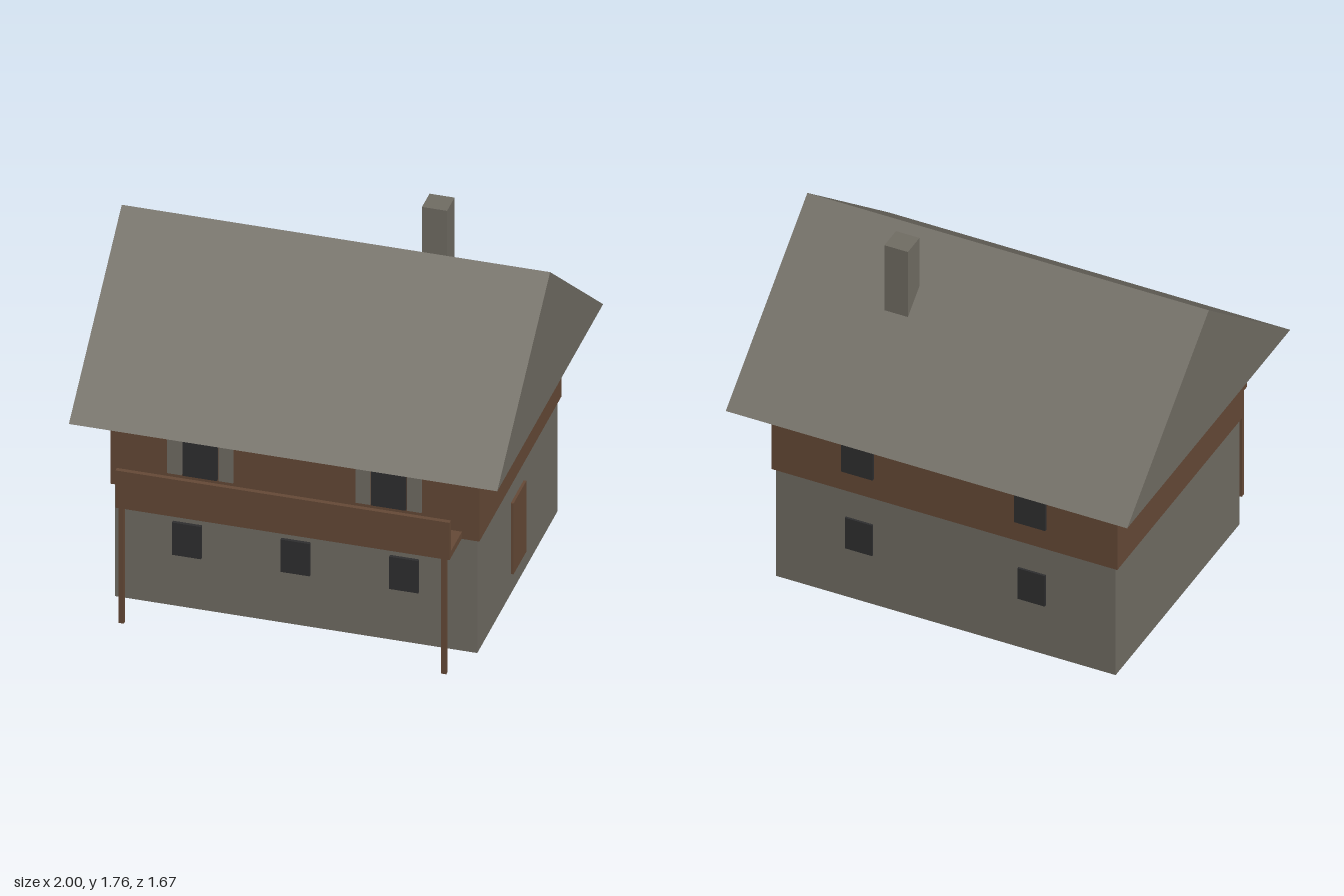
import * as THREE from 'three';

const grey = new THREE.MeshStandardMaterial({ color: 0x716d64, side: THREE.DoubleSide });
grey.name = 'stone grey';
const brown = new THREE.MeshStandardMaterial({ color: 0x664a37 });
brown.name = 'timber brown';
const dark = new THREE.MeshStandardMaterial({ color: 0x2f2f30 });
dark.name = 'window dark';

// Box given by its minimum and maximum on each axis
function box(parent, name, material, [x0, x1], [y0, y1], [z0, z1]) {
  const geometry = new THREE.BoxGeometry(x1 - x0, y1 - y0, z1 - z0);
  geometry.translate((x0 + x1) / 2, (y0 + y1) / 2, (z0 + z1) / 2);
  const mesh = new THREE.Mesh(geometry, material);
  mesh.name = name;
  parent.add(mesh);
  return mesh;
}

export function createModel() {
  const house = new THREE.Group();
  house.name = 'house';

  // Ground floor: a hollow shell, open underneath
  const walls = box(house, 'groundFloor', grey, [-0.846, 0.846], [0, 0.598], [-0.633, 0.624]);
  const index = Array.from(walls.geometry.index.array);
  index.splice(18, 6); // bottom face
  walls.geometry.setIndex(index);
  walls.geometry.clearGroups();

  // Timber upper floor
  box(house, 'upperFloor', brown, [-0.861, 0.861], [0.6, 0.999], [-0.647, 0.642]);

  // Solid gable roof
  const gable = new THREE.Shape([
    new THREE.Vector2(-0.828, 1),
    new THREE.Vector2(0.83, 1),
    new THREE.Vector2(0, 1.662),
  ]);
  const roofGeometry = new THREE.ExtrudeGeometry(gable, { depth: 2, bevelEnabled: false });
  roofGeometry.translate(0, 0, -1).rotateY(Math.PI / 2);
  const roof = new THREE.Mesh(roofGeometry, grey);
  roof.name = 'roof';
  house.add(roof);

  box(house, 'chimney', grey, [0.34, 0.457], [1.35, 1.765], [-0.325, -0.207]);
  box(house, 'door', brown, [0.84, 0.859], [0.105, 0.478], [-0.103, 0.1]);

  // Ground floor windows
  for (const x of [-0.507, 0, 0.507])
    box(house, 'frontLowerWindow', dark, [x - 0.068, x + 0.068], [0.275, 0.445], [0.62, 0.64]);

  for (const side of [-1, 1]) {
    // Windows at the back
    const x = side * 0.43;
    box(house, 'backLowerWindow', dark, [x - 0.068, x + 0.068], [0.275, 0.445], [-0.644, -0.63]);
    box(house, 'backUpperWindow', dark, [x - 0.078, x + 0.078], [0.71, 0.9], [-0.66, -0.64]);

    // Shuttered windows above the balcony
    const w = side * 0.44;
    box(house, 'frontUpperWindow', dark, [w - 0.08, w + 0.08], [0.71, 0.9], [0.638, 0.656]);
    for (const s of [-1, 1]) {
      const c = w + s * 0.12;
      box(house, 'shutter', grey, [c - 0.034, c + 0.034], [0.71, 0.9], [0.638, 0.654]);
    }

    // Balcony posts
    const p = side * 0.753;
    box(house, 'balconyPost', brown, [p - 0.012, p + 0.012], [0, 0.604], [0.815, 0.837]);
  }

  // Balcony
  box(house, 'balconyFloor', brown, [-0.78, 0.78], [0.604, 0.638], [0.64, 0.82]);
  box(house, 'balconyRail', brown, [-0.78, 0.78], [0.604, 0.8], [0.815, 0.837]);

  return house;
}
